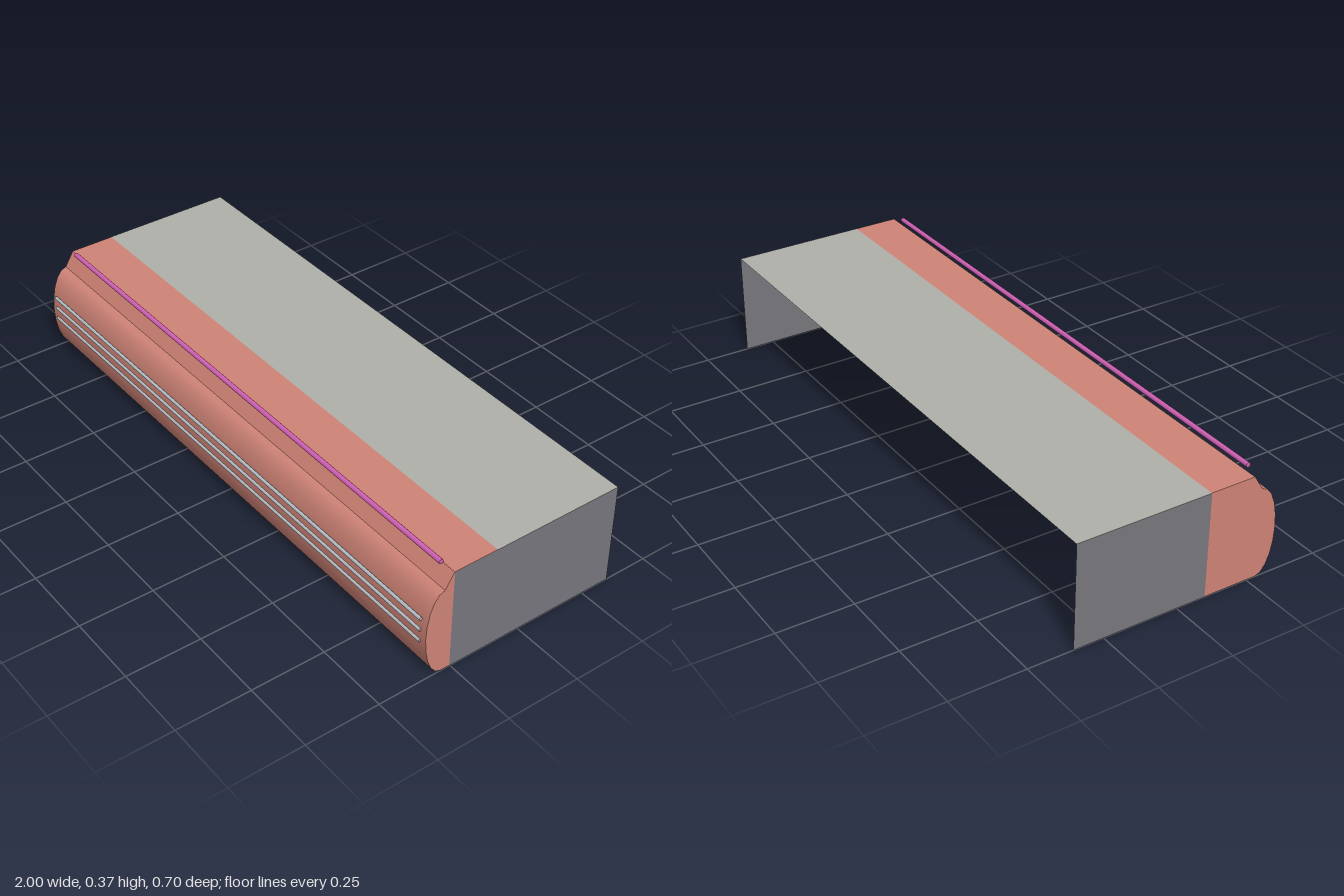
import * as THREE from 'three';
import { toCreasedNormals } from 'three/addons/utils/BufferGeometryUtils.js';

function makeMaterial(name, color, side = THREE.FrontSide) {
  const material = new THREE.MeshStandardMaterial({ color, side });
  material.name = name;
  return material;
}

export function createModel() {
  const group = new THREE.Group();
  group.name = 'barCounter';

  const salmon = makeMaterial('salmon', 0xcf8376);
  const topGrey = makeMaterial('worktop grey', 0xb0b0aa, THREE.DoubleSide);
  const sideGrey = makeMaterial('side grey', 0x77777d, THREE.DoubleSide);
  const steel = makeMaterial('steel', 0xb4bcc2);
  const pink = makeMaterial('pink light', 0xd060b4);

  const add = (name, geometry, material, x = 0, y = 0, z = 0) => {
    const mesh = new THREE.Mesh(geometry, material);
    mesh.name = name;
    mesh.position.set(x, y, z);
    group.add(mesh);
    return mesh;
  };

  // Front body: a profile in (z, y) with a half-ellipse bulge, extruded along x
  const length = 1.998;
  const profile = new THREE.Shape();
  profile.moveTo(0.1, 0);
  const steps = 10;
  for (let i = 0; i <= steps; i++) {
    const a = -Math.PI / 2 + (Math.PI * i) / steps;
    profile.lineTo(0.283 + 0.06 * Math.cos(a), 0.15 + 0.15 * Math.sin(a));
  }
  profile.lineTo(0.252, 0.35);
  profile.lineTo(0.1, 0.35);
  profile.closePath();
  const body = new THREE.ExtrudeGeometry(profile, { depth: length, bevelEnabled: false });
  body.translate(0, 0, -length / 2);
  body.rotateY(-Math.PI / 2);
  add('frontBody', toCreasedNormals(body, 0.58), salmon);

  // Thin worktop behind the front body
  const top = new THREE.PlaneGeometry(2, 0.45).rotateX(-Math.PI / 2);
  add('worktop', top, topGrey, 0, 0.35, -0.125);

  // Thin end panels; the one on +x also covers part of the body's end
  const panel = (name, x, frontZ) => {
    const depth = frontZ + 0.35;
    const geometry = new THREE.PlaneGeometry(depth, 0.35).rotateY((Math.sign(x) * Math.PI) / 2);
    add(name, geometry, sideGrey, x, 0.175, frontZ - depth / 2);
  };
  panel('leftEndPanel', 1, 0.252);
  panel('rightEndPanel', -1, 0.1);

  // Horizontal rods along the front
  const rod = (name, radius, rodLength, y, z, material) => {
    const geometry = new THREE.CylinderGeometry(radius, radius, rodLength, 12).rotateZ(Math.PI / 2);
    add(name, geometry, material, 0, y, z);
  };
  [0.13, 0.17, 0.21].forEach((y, i) => rod('trimRod' + (i + 1), 0.0055, 1.95, y, 0.343, steel));
  rod('lightTube', 0.008, 1.91, 0.361, 0.263, pink);

  return group;
}
